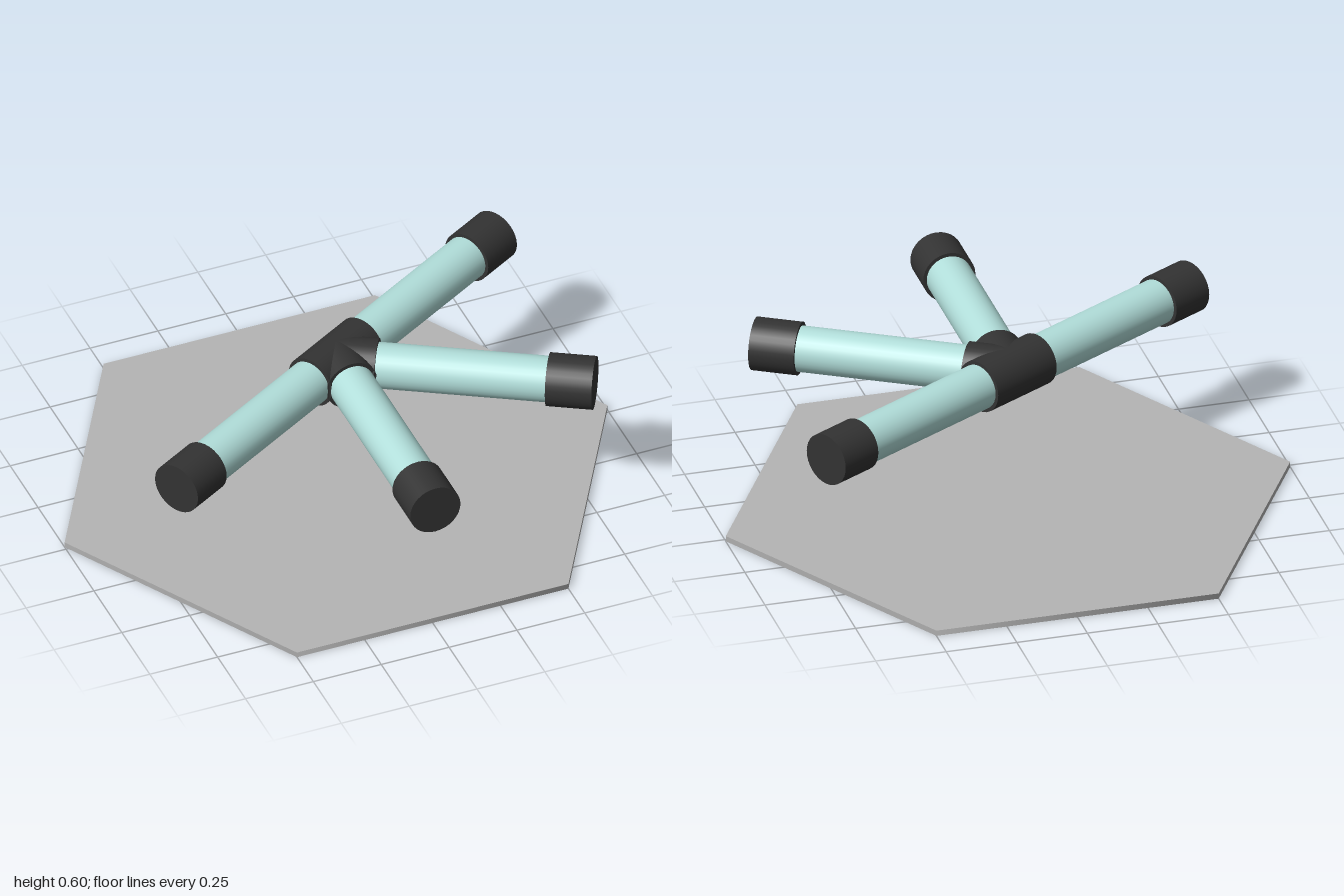
import * as THREE from 'three';

export function createModel() {
  const model = new THREE.Group();
  model.name = 'pipeConnectorOnPlate';

  const paleTeal = new THREE.MeshStandardMaterial({ name: 'paleTeal', color: 0xb2dfdb });
  const charcoal = new THREE.MeshStandardMaterial({ name: 'charcoal', color: 0x333333 });
  const grey = new THREE.MeshStandardMaterial({ name: 'grey', color: 0xb5b5b5 });

  const centreZ = -0.0125;

  // Hexagonal base plate with corners on the x axis
  const plate = new THREE.Mesh(
    new THREE.CylinderGeometry(1, 1, 0.02, 6, 1, false, Math.PI / 2), grey);
  plate.name = 'basePlate';
  plate.position.set(0, 0.01, centreZ);
  model.add(plate);

  // Cylinder lying along +z between two distances from the hub
  function rod(name, radius, from, to, material) {
    const geometry = new THREE.CylinderGeometry(radius, radius, to - from, 32);
    geometry.rotateX(Math.PI / 2);
    geometry.translate(0, 0, (from + to) / 2);
    const mesh = new THREE.Mesh(geometry, material);
    mesh.name = name;
    return mesh;
  }

  // Four arms: hub socket, pipe and end cap, turned around the hub
  const arms = { frontArm: 0, frontLeftArm: 60, backLeftArm: 120, frontRightArm: -60 };
  for (const [name, degrees] of Object.entries(arms)) {
    const arm = new THREE.Group();
    arm.name = name;
    arm.add(
      rod('hubSocket', 0.0925, 0, 0.143, charcoal),
      rod('pipe', 0.08, 0.05, 0.8, paleTeal),
      rod('endCap', 0.0925, 0.73, 0.89, charcoal));
    arm.position.set(0, 0.505, centreZ);
    arm.rotation.y = THREE.MathUtils.degToRad(degrees);
    model.add(arm);
  }

  return model;
}
